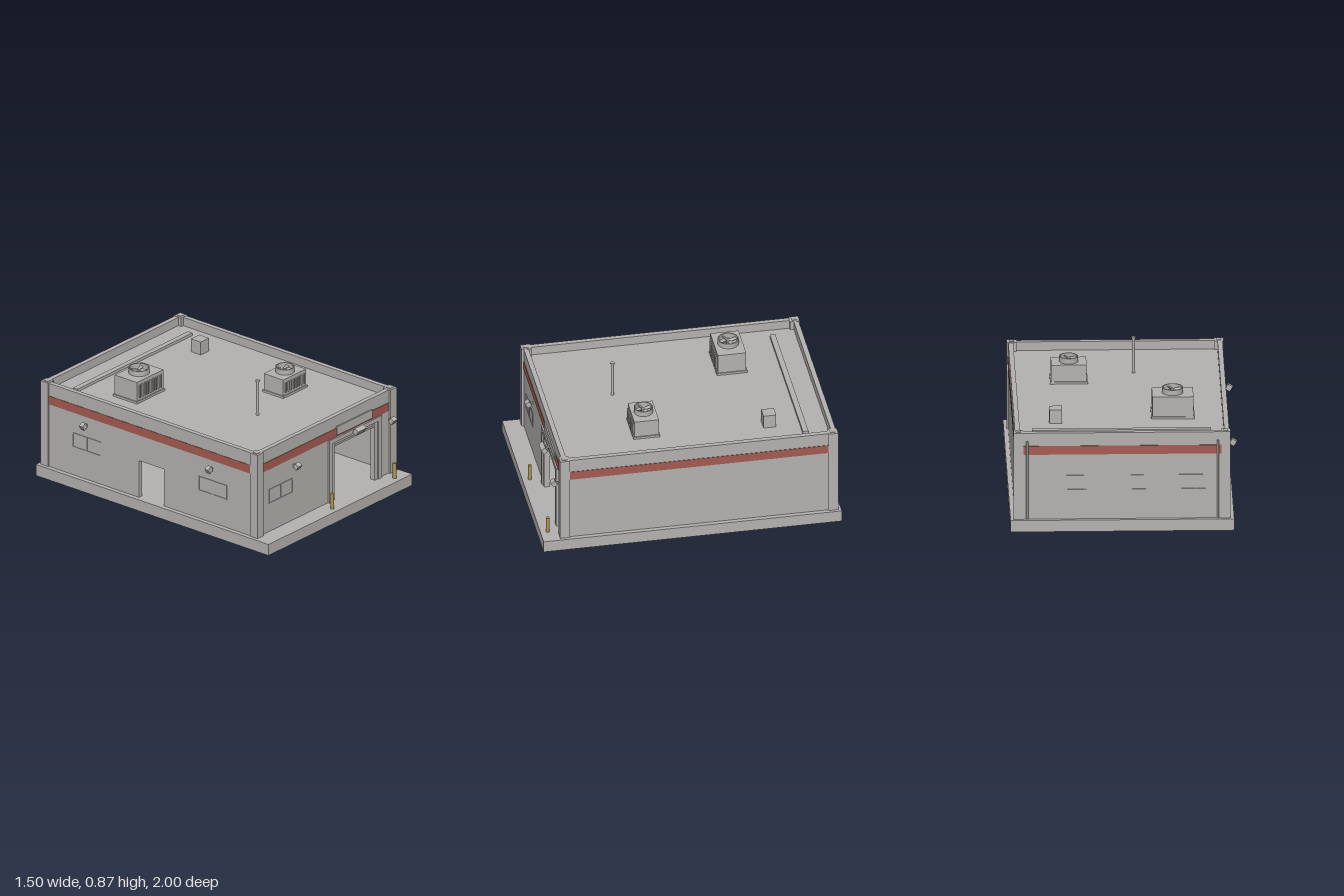
import * as THREE from 'three';

const material = (name, color) => {
  const m = new THREE.MeshStandardMaterial({ color, side: THREE.DoubleSide });
  m.name = name;
  return m;
};

export function createModel() {
  const grey = material('concrete grey', 0xb5b3b0);
  const red = material('band red', 0xa55c52);
  const yellow = material('bollard yellow', 0xab9650);
  const root = new THREE.Group();

  const add = (parent, name, geometry, mat = grey) => {
    const mesh = new THREE.Mesh(geometry, mat);
    mesh.name = name;
    parent.add(mesh);
    return mesh;
  };
  const group = (name, parent = root) => {
    const g = new THREE.Group();
    g.name = name;
    parent.add(g);
    return g;
  };
  // Box given by its limits along each axis
  const box = (parent, name, x0, x1, y0, y1, z0, z1, mat = grey) => {
    const mesh = add(parent, name, new THREE.BoxGeometry(x1 - x0, y1 - y0, z1 - z0), mat);
    mesh.position.set((x0 + x1) / 2, (y0 + y1) / 2, (z0 + z1) / 2);
    return mesh;
  };
  const cylinder = (parent, name, r, x, y0, y1, z, mat = grey, open = false) => {
    const mesh = add(parent, name, new THREE.CylinderGeometry(r, r, y1 - y0, 24, 1, open), mat);
    mesh.position.set(x, (y0 + y1) / 2, z);
    return mesh;
  };

  const L = -0.693, R = 0.72, B = -0.973, F = 0.87; // outer wall faces
  const T = 0.033, floor = 0.08, roof = 0.62, top = 0.68;

  box(root, 'baseSlab', -0.725, 0.75, 0, floor, -1, 1);

  // Walls with door openings cut from the ground up
  const wall = (name, u0, u1, door) => {
    const s = new THREE.Shape();
    s.moveTo(u0, floor);
    if (door) {
      s.lineTo(door[0], floor);
      s.lineTo(door[0], door[2]);
      s.lineTo(door[1], door[2]);
      s.lineTo(door[1], floor);
    }
    s.lineTo(u1, floor);
    s.lineTo(u1, top);
    s.lineTo(u0, top);
    return add(root, name, new THREE.ExtrudeGeometry(s, { depth: T, bevelEnabled: false }));
  };
  wall('frontWall', L, R, [0.1, 0.515, 0.5]).position.z = F - T;
  wall('backWall', L, R).position.z = B;
  const rightSide = wall('windowSideWall', B + T, F - T, [-0.14, 0.075, 0.345]);
  rightSide.rotation.y = -Math.PI / 2;
  rightSide.position.x = L + T;
  const leftSide = wall('plainSideWall', B + T, F - T);
  leftSide.rotation.y = -Math.PI / 2;
  leftSide.position.x = R;
  box(root, 'roofDeck', L + T, R - T, roof - 0.03, roof, B + T, F - T);

  // Corner pillars with flat caps
  for (const [x0, x1] of [[-0.7, -0.64], [0.665, 0.73]])
    for (const [z0, z1] of [[-0.98, -0.915], [0.82, 0.885]]) {
      box(root, 'cornerPillar', x0, x1, floor, top + 0.002, z0, z1);
      box(root, 'pillarCap', x0 + 0.015, x1 - 0.015, top, top + 0.006, z0 + 0.015, z1 - 0.015);
    }

  // Painted band round the walls
  const p = 0.003;
  box(root, 'frontBand', -0.64, 0.665, 0.53, 0.59, F, F + p, red);
  box(root, 'backBand', -0.64, 0.665, 0.53, 0.59, B - p, B, red);
  box(root, 'sideBand', L - p, L, 0.53, 0.59, -0.915, 0.82, red);
  box(root, 'sideBand', R, R + p, 0.53, 0.59, -0.915, 0.82, red);

  // Main door frame, rolled-up shutter and blank sign panel
  const door = group('mainDoor');
  for (const [x0, x1] of [[0.04, 0.075], [0.545, 0.58]])
    box(door, 'doorPost', x0, x1, floor, 0.53, F, F + 0.014);
  for (const [x0, x1] of [[0.075, 0.105], [0.515, 0.545]])
    box(door, 'shutterGuide', x0, x1, floor, 0.5, F - T, F + 0.005);
  box(door, 'doorHeader', 0.075, 0.545, 0.5, 0.53, F, F + 0.014);
  for (let i = 0; i < 3; i++)
    box(door, 'shutterSlat', 0.1, 0.515, 0.456 + i * 0.015, 0.469 + i * 0.015, F - 0.022, F - 0.01);
  box(root, 'signPanel', 0.125, 0.49, 0.54, 0.602, F, F + 0.009);

  // Windows: frame bars and a mullion on a local wall plane facing +z
  const addWindow = (x, z, turn) => {
    const g = group('window');
    const w = 0.122, y0 = 0.28, y1 = 0.385, t = 0.007, d = 0.004;
    for (const y of [y0, y1 - t]) box(g, 'windowRail', -w, w, y, y + t, 0, d);
    for (const u of [-w, -t / 2, w - t]) box(g, 'windowStile', u, u + t, y0 + t, y1 - t, 0, d);
    g.position.set(x, 0, z);
    g.rotation.y = turn;
  };
  addWindow(-0.44, F, 0);
  for (const x of [-0.47, -0.167, 0.26]) addWindow(x, B, Math.PI);
  for (const z of [-0.587, 0.495]) addWindow(L, z, -Math.PI / 2);

  // Tilted floodlights on short brackets
  const floodlight = (x, y, z, turn, width, size) => {
    const g = group('floodlight');
    box(g, 'lampBracket', -0.006, 0.006, -0.006, 0.006, 0, 0.03);
    const head = add(g, 'lampHead', new THREE.BoxGeometry(width, size, size * 0.9));
    head.position.z = 0.034;
    head.rotation.x = 0.55;
    g.position.set(x, y, z);
    g.rotation.y = turn;
  };
  floodlight(-0.31, 0.475, F, 0, 0.042, 0.036);
  floodlight(0.655, 0.475, F + 0.01, 0, 0.042, 0.036);
  floodlight(0.308, 0.527, F + 0.014, 0, 0.085, 0.038);
  for (const z of [-0.59, 0.49]) floodlight(L, 0.474, z, -Math.PI / 2, 0.03, 0.04);

  // Bollards, drainpipes and roof vent pipe
  for (const x of [-0.01, 0.63]) cylinder(root, 'bollard', 0.013, x, floor, 0.188, 0.95, yellow);
  for (const x of [-0.617, 0.64]) cylinder(root, 'drainpipe', 0.007, x, floor, 0.625, B - 0.008);
  cylinder(root, 'ventPipe', 0.01, -0.095, roof, 0.87, 0.38);
  cylinder(root, 'ventPipeCap', 0.014, -0.095, 0.862, 0.872, 0.38);

  // Rooftop box and cable duct
  box(root, 'roofHatch', 0.4, 0.485, roof, 0.713, -0.61, -0.525);
  box(root, 'roofDuct', -0.577, 0.603, roof, roof + 0.02, -0.804, -0.767);

  // Air conditioning units
  const airUnit = (x, z, w, d, h, r, fins) => {
    const g = group('airUnit');
    const hw = w / 2, hd = d / 2;
    box(g, 'unitBase', -hw - 0.007, hw + 0.007, 0, 0.015, -hd - 0.007, hd + 0.007);
    box(g, 'unitBody', -hw, hw, 0.015, h, -hd, hd);
    for (let i = 0; i < fins; i++) {
      const u = (i / (fins - 1) - 0.5) * w * 0.8;
      box(g, 'louvreFin', u - 0.004, u + 0.004, 0.035, h - 0.025, hd, hd + 0.01);
    }
    cylinder(g, 'fanRing', r, 0, h, h + 0.037, 0, grey, true);
    cylinder(g, 'fanRingInner', r - 0.007, 0, h, h + 0.037, 0, grey, true);
    const rim = add(g, 'fanRim', new THREE.RingGeometry(r - 0.007, r, 24));
    rim.rotation.x = -Math.PI / 2;
    rim.position.y = h + 0.037;
    cylinder(g, 'fanHub', 0.013, 0, h, h + 0.026, 0);
    for (let i = 0; i < 4; i++) {
      const blade = group('fanBlade', g);
      const b = box(blade, 'blade', 0.01, r - 0.009, h + 0.017, h + 0.021, -0.011, 0.011);
      b.rotation.x = 0.4;
      blade.rotation.y = i * Math.PI / 2 + 0.4;
    }
    g.position.set(x, roof, z);
  };
  airUnit(-0.332, -0.442, 0.272, 0.19, 0.152, 0.07, 9);
  airUnit(0.336, 0.253, 0.234, 0.165, 0.13, 0.063, 8);

  return root;
}
